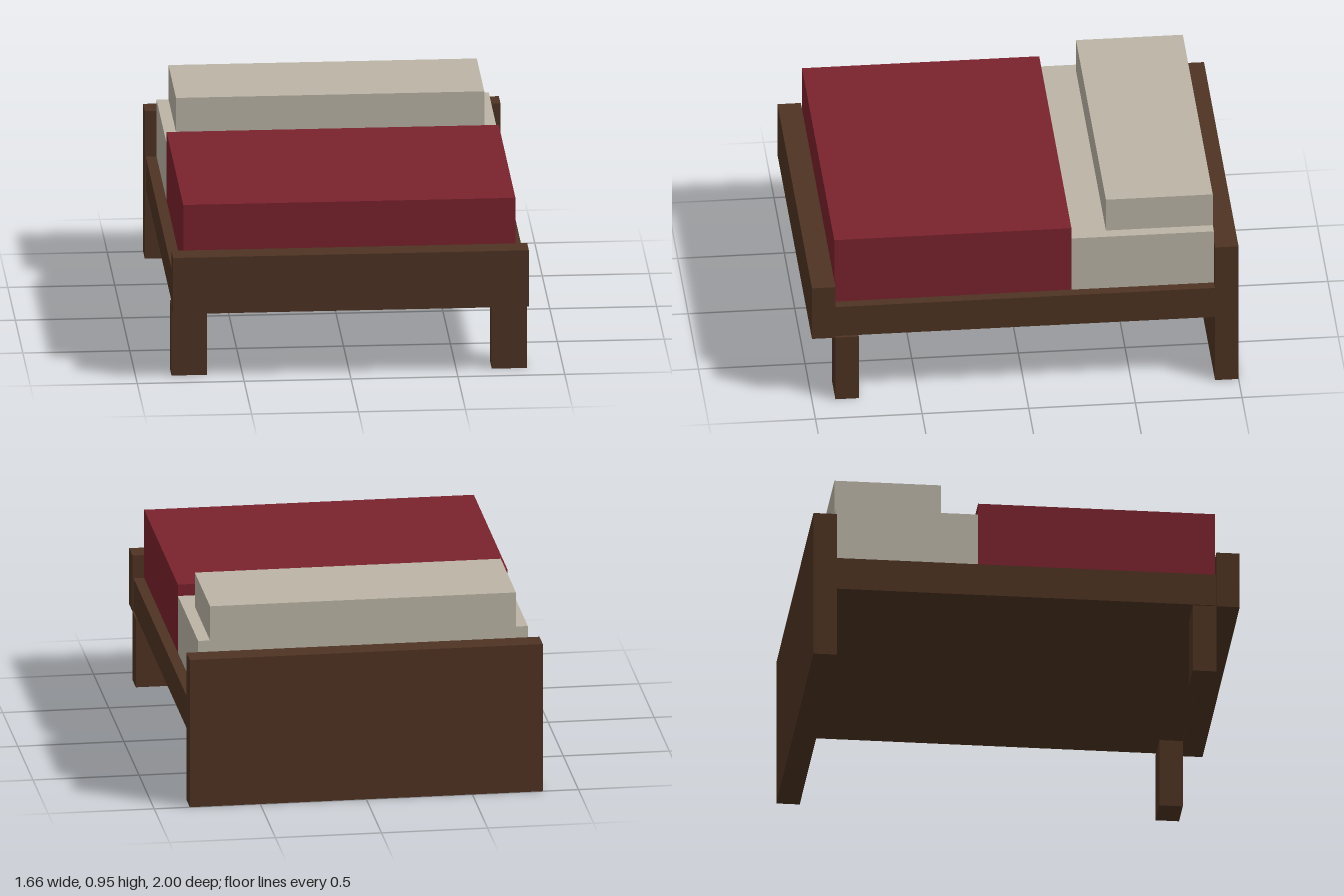
import * as THREE from 'three';

const material = (name, color) => {
  const m = new THREE.MeshStandardMaterial({ color });
  m.name = name;
  return m;
};

export function createModel() {
  const wood = material('dark wood', 0x4e3322);
  const linen = material('linen', 0xbcb5a6);
  const red = material('red blanket', 0x7a222d);

  const bed = new THREE.Group();
  bed.name = 'bed';

  // Box given by its [min, max] extent on each axis
  const addBox = (name, mat, [x0, x1], [y0, y1], [z0, z1]) => {
    const mesh = new THREE.Mesh(new THREE.BoxGeometry(x1 - x0, y1 - y0, z1 - z0), mat);
    mesh.position.set((x0 + x1) / 2, (y0 + y1) / 2, (z0 + z1) / 2);
    mesh.name = name;
    bed.add(mesh);
  };

  // Wooden frame
  addBox('headboard', wood, [-0.832, 0.832], [0, 0.724], [-1, -0.89]);
  addBox('footboard', wood, [-0.832, 0.832], [0.336, 0.612], [0.89, 1]);
  addBox('bedBase', wood, [-0.827, 0.827], [0.342, 0.5], [-0.89, 0.89]);

  // Front legs, set just behind the footboard
  for (const [name, x] of [['leftLeg', 0.749], ['rightLeg', -0.749]]) {
    addBox(name, wood, [x - 0.083, x + 0.083], [0, 0.336], [0.78, 0.89]);
  }

  // Bedding: exposed mattress end, blanket over the rest, and one wide pillow
  addBox('mattress', linen, [-0.777, 0.777], [0.5, 0.779], [-0.89, -0.222]);
  addBox('blanket', red, [-0.777, 0.777], [0.5, 0.835], [-0.222, 0.89]);
  addBox('pillow', linen, [-0.721, 0.721], [0.779, 0.947], [-0.89, -0.389]);

  return bed;
}
